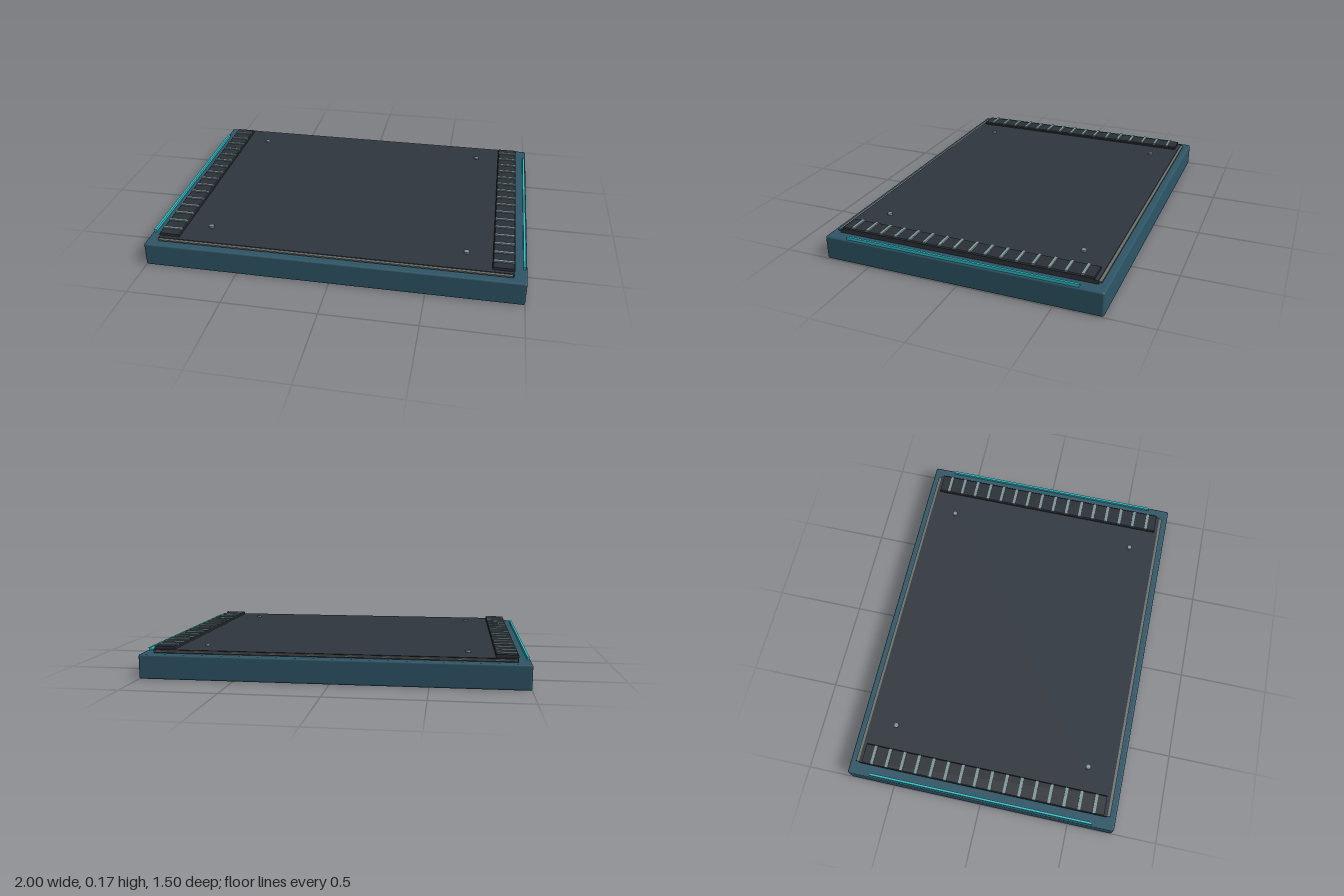
import * as THREE from 'three';
import { RoundedBoxGeometry } from 'three/addons/geometries/RoundedBoxGeometry.js';

const mat = (name, color) => {
  const m = new THREE.MeshStandardMaterial({ color });
  m.name = name;
  return m;
};

export function createModel() {
  const model = new THREE.Group();
  model.name = 'platform';
  const teal = mat('dark teal', 0x2e5566);
  const charcoal = mat('charcoal', 0x2f363e);
  const dark = mat('dark grey', 0x2b3037);
  const steel = mat('pale steel', 0x7d9598);
  const trim = mat('grey trim', 0x6c706d);
  const cyan = mat('cyan light', 0x2cc4cc);

  const add = (name, geometry, material, x, y, z) => {
    const mesh = new THREE.Mesh(geometry, material);
    mesh.name = name;
    mesh.position.set(x, y, z);
    model.add(mesh);
    return mesh;
  };
  // Box given by its bottom and top heights
  const box = (name, w, y0, y1, d, material, x = 0, z = 0) =>
    add(name, new THREE.BoxGeometry(w, y1 - y0, d), material, x, (y0 + y1) / 2, z);

  // Slab with slightly softened edges
  add('base', new RoundedBoxGeometry(2, 0.13, 1.5, 2, 0.01), teal, 0, 0.065, 0);

  // Raised deck
  box('deck', 1.868, 0.125, 0.149, 1.4, charcoal);

  // Thin trim along the front and back of the deck
  for (const s of [-1, 1]) box('edgeTrim', 1.86, 0.137, 0.145, 0.024, trim, 0, s * 0.704);

  // Side rail section with chamfered top corners
  const section = new THREE.Shape([
    [-0.056, 0], [0.056, 0], [0.056, 0.011], [0.051, 0.016], [-0.051, 0.016], [-0.056, 0.011],
  ].map(([x, y]) => new THREE.Vector2(x, y)));
  const railGeometry = new THREE.ExtrudeGeometry(section, { depth: 1.36, bevelEnabled: false });
  railGeometry.translate(0, 0, -0.68);
  const ribGeometry = new THREE.BoxGeometry(0.106, 0.012, 0.016);
  const boltGeometry = new THREE.CylinderGeometry(0.014, 0.014, 0.012, 12);

  for (const s of [-1, 1]) {
    add('sideRail', railGeometry, dark, s * 0.881, 0.148, 0);

    // Row of grip ribs
    for (let i = 0; i < 16; i++) {
      add('gripRib', ribGeometry, steel, s * 0.881, 0.165, -0.623 + i * 0.0831);
    }

    // Light strip along the outer edge
    box('lightStrip', 0.012, 0.125, 0.145, 1.25, cyan, s * 0.986);

    // Corner bolts
    for (const t of [-1, 1]) add('bolt', boltGeometry, steel, s * 0.69, 0.153, t * 0.55);
  }
  return model;
}
